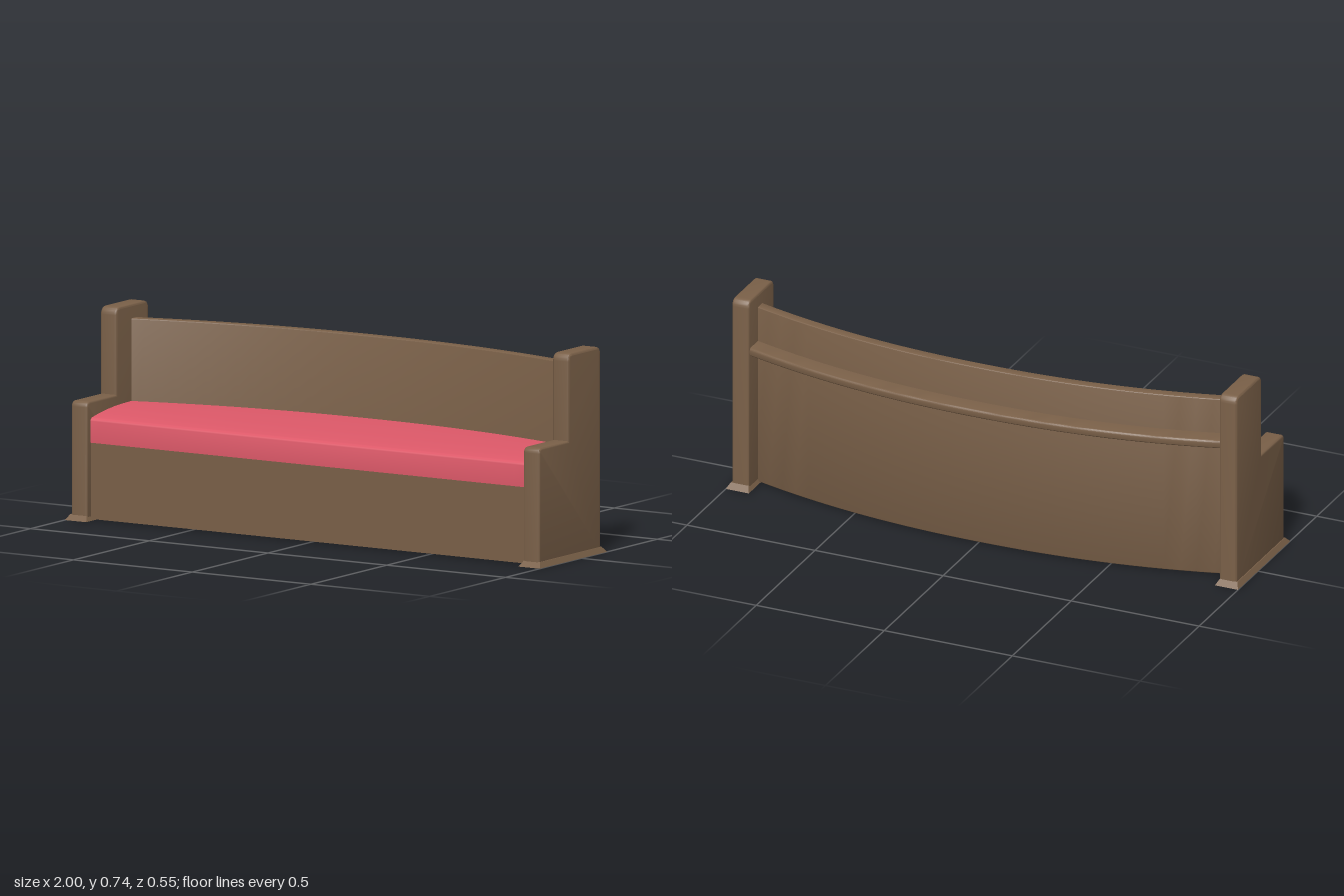
import * as THREE from 'three';
import { toCreasedNormals } from 'three/addons/utils/BufferGeometryUtils.js';

const wood = new THREE.MeshStandardMaterial({ color: 0x7a6048 });
const fabric = new THREE.MeshStandardMaterial({ color: 0xdc5868 });
const HALF = 0.925;

// Forward sweep of the curved back towards the ends
const bow = (x) => 0.13 * Math.pow(Math.abs(x) / 0.92, 2.15);

function makeMesh(name, geometry, material) {
  const mesh = new THREE.Mesh(geometry, material);
  mesh.name = name;
  return mesh;
}

// Polygon of [z, y, radius] corners with rounded corners
function roundedShape(corners) {
  const shape = new THREE.Shape();
  const n = corners.length;
  corners.forEach(([z, y, r], i) => {
    const p = new THREE.Vector2(z, y);
    const toward = ([a, b]) => new THREE.Vector2(a, b).sub(p).setLength(r).add(p);
    if (!r) {
      if (i === 0) shape.moveTo(z, y); else shape.lineTo(z, y);
      return;
    }
    const a = toward(corners[(i + n - 1) % n]);
    const b = toward(corners[(i + 1) % n]);
    if (i === 0) shape.moveTo(a.x, a.y); else shape.lineTo(a.x, a.y);
    shape.quadraticCurveTo(z, y, b.x, b.y);
  });
  shape.closePath();
  return shape;
}

// Sweep a z-y section along x, bending each point by its weight
function bentSweep(name, shape, material, weight) {
  const g = new THREE.ExtrudeGeometry(shape, {
    depth: HALF * 2, steps: 32, bevelEnabled: false, curveSegments: 5,
  });
  g.translate(0, 0, -HALF);
  g.rotateY(-Math.PI / 2);
  const p = g.attributes.position;
  for (let i = 0; i < p.count; i++) {
    p.setZ(i, p.getZ(i) + bow(p.getX(i)) * weight(p.getZ(i)));
  }
  return makeMesh(name, toCreasedNormals(g, 0.6), material);
}

// Stepped end panel with softened edges and a flared foot
function endPanel(side) {
  const group = new THREE.Group();
  group.name = side > 0 ? 'leftEnd' : 'rightEnd';
  const bevel = 0.008;
  const shape = roundedShape([
    [0.248, 0.008, 0], [0.247, 0.42, 0.012], [0.055, 0.42, 0],
    [0.055, 0.733, 0.02], [-0.143, 0.733, 0.02], [-0.143, 0.008, 0],
  ].reverse());
  const g = new THREE.ExtrudeGeometry(shape, {
    depth: 0.068 - 2 * bevel, bevelThickness: bevel, bevelSize: bevel,
    bevelSegments: 3, curveSegments: 5,
  });
  g.translate(0, 0, -0.034 + bevel);
  g.rotateY(-Math.PI / 2);
  g.translate(side * 0.952, 0, 0);
  group.add(makeMesh('endPanel', toCreasedNormals(g, 0.6), wood));

  const foot = new THREE.BoxGeometry(0.09, 0.02, 0.445);
  const p = foot.attributes.position;
  for (let i = 0; i < p.count; i++) {
    if (p.getY(i) > 0) p.setXYZ(i, p.getX(i) * 0.76, p.getY(i), p.getZ(i) * 0.91);
  }
  foot.translate(side * 0.955, 0.01, 0.052);
  const flat = foot.toNonIndexed();
  flat.computeVertexNormals();
  group.add(makeMesh('flaredFoot', flat, wood));
  return group;
}

export function createModel() {
  const model = new THREE.Group();
  model.name = 'pew';

  // Weight grows from the straight front to the curved back
  const taper = (z) => THREE.MathUtils.clamp((0.235 - z) / 0.4, 0, 1);
  const full = () => 1;

  // Curved backrest running to the floor
  model.add(bentSweep('backrest', roundedShape([
    [-0.205, 0.004, 0.006], [-0.165, 0.004, 0],
    [-0.165, 0.69, 0.006], [-0.205, 0.69, 0.006],
  ]), wood, full));

  // Enclosed base below the seat
  model.add(bentSweep('base', roundedShape([
    [-0.18, 0.005, 0], [0.228, 0.005, 0], [0.228, 0.285, 0], [-0.18, 0.285, 0],
  ]), wood, taper));

  // Cushion with a rounded front edge and a gentle crown
  const cushion = new THREE.Shape();
  cushion.moveTo(-0.175, 0.28);
  cushion.lineTo(0.235, 0.28);
  cushion.lineTo(0.235, 0.352);
  cushion.quadraticCurveTo(0.235, 0.366, 0.215, 0.37);
  cushion.quadraticCurveTo(0.06, 0.393, -0.175, 0.393);
  cushion.closePath();
  model.add(bentSweep('seatCushion', cushion, fabric, taper));

  // Ledge along the rear of the backrest
  model.add(bentSweep('rearLedge', roundedShape([
    [-0.274, 0.526, 0.01], [-0.195, 0.526, 0],
    [-0.195, 0.557, 0], [-0.274, 0.557, 0.01],
  ]), wood, full));

  for (const side of [-1, 1]) model.add(endPanel(side));
  return model;
}
